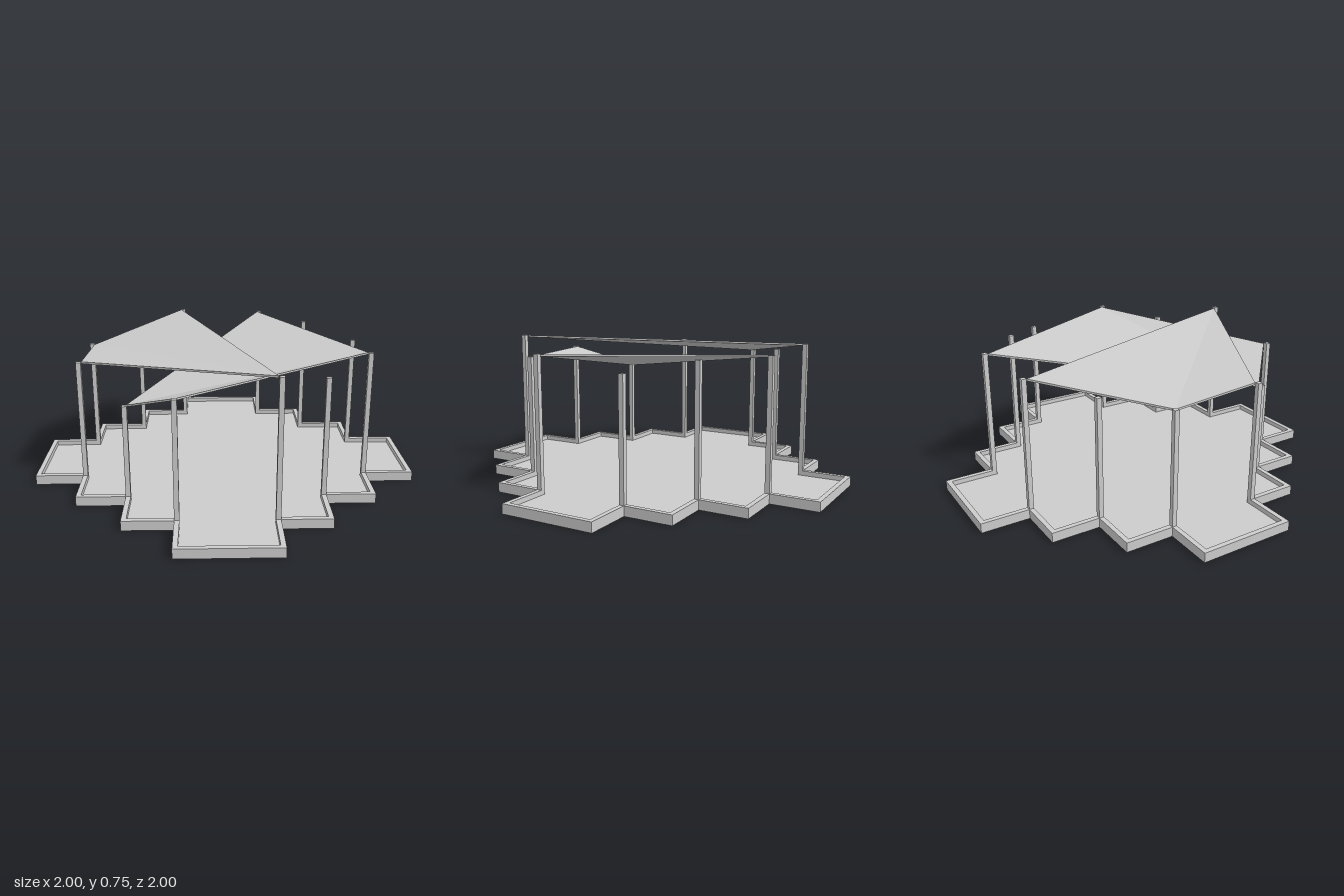
import * as THREE from 'three';

const material = new THREE.MeshStandardMaterial({ color: 0xcccccc, flatShading: true });
const RIM = 0.025;

// Stepped cross outline, pulled inward by an inset
function steppedOutline(inset) {
  const quarter = [[1, 0.25], [0.75, 0.25], [0.75, 0.5], [0.5, 0.5], [0.5, 0.75], [0.25, 0.75], [0.25, 1]]
    .map(([x, z]) => [x - inset, z - inset]);
  const points = [];
  for (let i = 0; i < 4; i++) {
    for (const [x, z] of quarter) {
      const [px, pz] = [[x, z], [-z, x], [-x, -z], [z, -x]][i];
      points.push(new THREE.Vector2(px, pz));
    }
  }
  return points;
}

function slab(shape, height, name) {
  const geometry = new THREE.ExtrudeGeometry(shape, { depth: height, bevelEnabled: false });
  geometry.rotateX(-Math.PI / 2);
  const mesh = new THREE.Mesh(geometry, material);
  mesh.name = name;
  return mesh;
}

// Thin four-cornered sail, folded along the line between its corners 0 and 2.
// Corners run counter-clockwise as seen from above.
function sail(corners, name, thickness = 0.01) {
  const positions = [];
  const top = corners.map(c => new THREE.Vector3(...c));
  const bottom = top.map(p => p.clone().setY(p.y - thickness));
  const triangle = (...points) => points.forEach(p => positions.push(p.x, p.y, p.z));
  for (const [a, b, c] of [[0, 1, 2], [0, 2, 3]]) {
    triangle(top[a], top[b], top[c]);
    triangle(bottom[c], bottom[b], bottom[a]);
  }
  for (let i = 0; i < 4; i++) {
    const j = (i + 1) % 4;
    triangle(top[i], bottom[i], bottom[j]);
    triangle(top[i], bottom[j], top[j]);
  }
  const geometry = new THREE.BufferGeometry();
  geometry.setAttribute('position', new THREE.Float32BufferAttribute(positions, 3));
  geometry.computeVertexNormals();
  const mesh = new THREE.Mesh(geometry, material);
  mesh.name = name;
  return mesh;
}

export function createModel() {
  const group = new THREE.Group();
  group.name = 'shadePavilion';

  // Floor inside a low raised rim
  group.add(slab(new THREE.Shape(steppedOutline(RIM)), 0.025, 'floor'));
  const rimShape = new THREE.Shape(steppedOutline(0));
  rimShape.holes.push(new THREE.Path(steppedOutline(RIM)));
  group.add(slab(rimShape, 0.05, 'rim'));

  // Posts in the inner corners of the steps: x, z, top height
  const posts = [
    [0.25, 0.75, 0.745], [0.5, 0.5, 0.66], [0.75, 0.25, 0.71],
    [0.75, -0.25, 0.65], [0.5, -0.5, 0.7], [0.25, -0.75, 0.71],
    [-0.25, -0.75, 0.725], [-0.5, -0.5, 0.665], [-0.75, -0.25, 0.64],
    [-0.75, 0.25, 0.67], [-0.5, 0.5, 0.525], [-0.25, 0.75, 0.645],
  ];
  const postGroup = new THREE.Group();
  postGroup.name = 'posts';
  for (const [x, z, top] of posts) {
    const post = new THREE.Mesh(new THREE.BoxGeometry(RIM, top, RIM), material);
    post.position.set(x - Math.sign(x) * RIM / 2, top / 2, z - Math.sign(z) * RIM / 2);
    post.name = 'post';
    postGroup.add(post);
  }
  group.add(postGroup);

  // Two overlapping folded sails
  group.add(sail([
    [-0.725, 0.635, -0.23], [-0.725, 0.668, 0.225], [0.225, 0.743, 0.72], [-0.25, 0.725, -0.725],
  ], 'upperSail'));
  group.add(sail([
    [-0.48, 0.525, 0.475], [-0.23, 0.643, 0.72], [0.725, 0.707, 0.225], [0.225, 0.71, -0.725],
  ], 'lowerSail'));

  return group;
}
